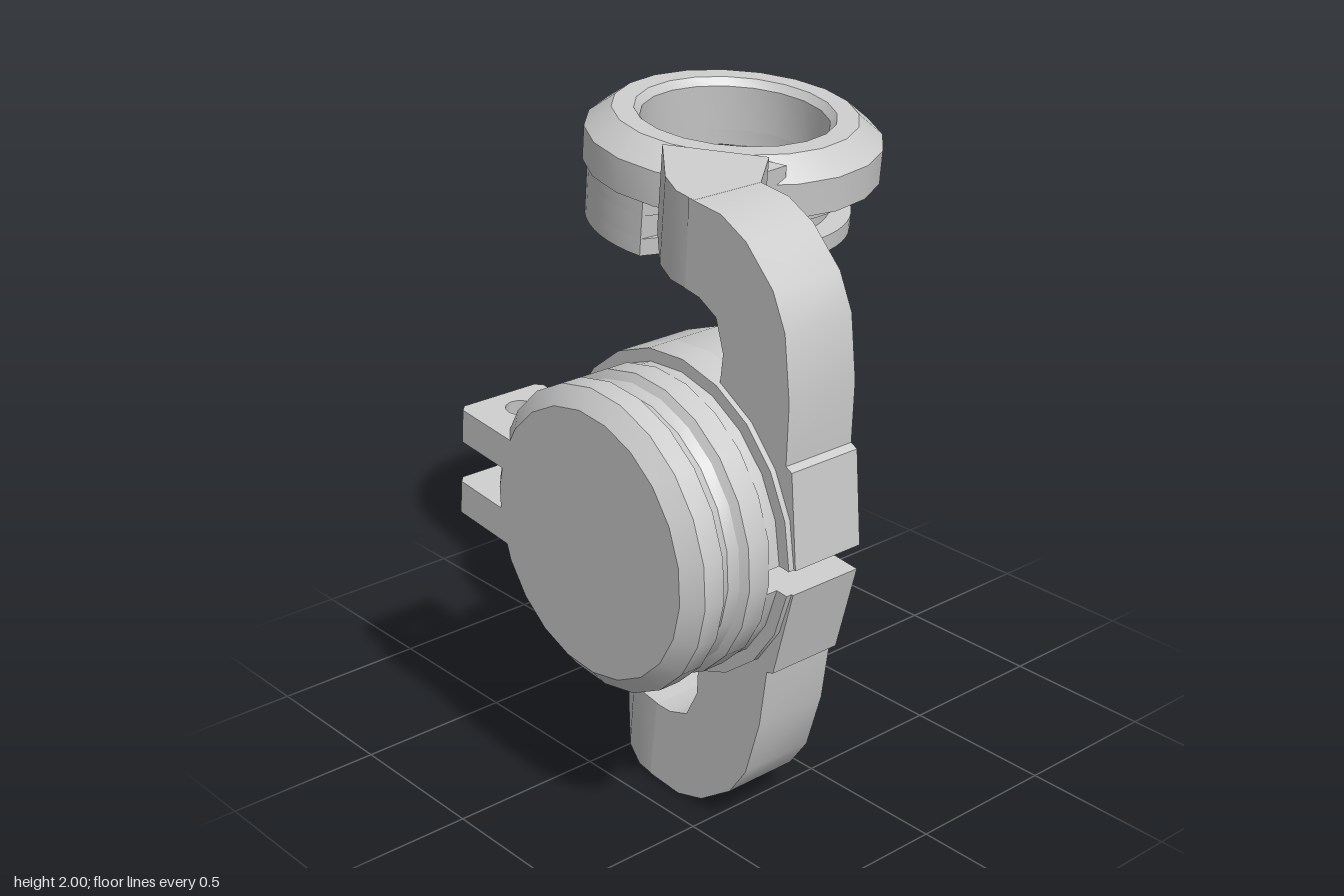
import * as THREE from 'three';
import { toCreasedNormals } from 'three/addons/utils/BufferGeometryUtils.js';

const material = new THREE.MeshStandardMaterial({ color: 0xcccccc });

function part(name, geometry) {
  const mesh = new THREE.Mesh(toCreasedNormals(geometry, 0.5), material);
  mesh.name = name;
  return mesh;
}

function circleHole(x, y, r, n = 20) {
  const pts = [];
  for (let i = 0; i < n; i++) {
    const a = (i / n) * Math.PI * 2;
    pts.push(new THREE.Vector2(x + r * Math.cos(a), y + r * Math.sin(a)));
  }
  return new THREE.Path(pts);
}

// Extrude an outline of [z, y] points along x
function alongX(points, x0, x1) {
  const shape = new THREE.Shape(points.map(([z, y]) => new THREE.Vector2(-z, y)));
  return new THREE.ExtrudeGeometry(shape, { depth: x1 - x0, bevelEnabled: false })
    .rotateY(Math.PI / 2).translate(x0, 0, 0);
}

// Extrude an outline of [x, z] points along y, with an optional round hole [x, z, r]
function alongY(points, y0, y1, hole) {
  const shape = new THREE.Shape(points.map(([x, z]) => new THREE.Vector2(x, -z)));
  if (hole) shape.holes.push(circleHole(hole[0], -hole[1], hole[2]));
  return new THREE.ExtrudeGeometry(shape, { depth: y1 - y0, bevelEnabled: false })
    .rotateX(-Math.PI / 2).translate(0, y0, 0);
}

function lathe(points, segments) {
  return new THREE.LatheGeometry(points.map(([r, y]) => new THREE.Vector2(r, y)), segments);
}

// Half annulus above the clamp slot
function halfRing(inner, outer, gap) {
  const pts = [], n = 10;
  for (const [r, dir] of [[outer, 1], [inner, -1]]) {
    const a0 = Math.asin(gap / r);
    for (let i = 0; i <= n; i++) {
      const t = dir > 0 ? i / n : 1 - i / n;
      const a = a0 + (Math.PI - 2 * a0) * t;
      pts.push([r * Math.cos(a), r * Math.sin(a)]);
    }
  }
  return pts;
}

// Cup layer outline: full at the sides, set back in front, cut straight behind
function cupOutline(front, chord, grooveBack) {
  const pts = [], n = 60;
  for (let i = 0; i < n; i++) {
    const a = (i / n) * Math.PI * 2, s = Math.sin(a), c = Math.cos(a);
    let r = 0.457;
    if (r * c > 0.1) r = front;
    if (c < 0) r = Math.min(r, chord / -c);
    if (grooveBack && c < 0 && Math.abs(r * s) < 0.29) r = Math.min(r, grooveBack);
    pts.push([r * s, r * c]);
  }
  return pts;
}

// Cup with a stepped bore and a band groove; y = 0 is its inner face
function makeCup() {
  const cup = new THREE.Group();
  cup.add(part('cupFlange', alongY(cupOutline(0.39, 0.31), 0, 0.055, [0, 0, 0.2])));
  cup.add(part('cupGroove', alongY(cupOutline(0.32, 0.31, 0.27), 0.055, 0.13, [0, 0, 0.2])));
  cup.add(part('cupShoulder', alongY(cupOutline(0.39, 0.38), 0.13, 0.182, [0, 0, 0.3])));
  cup.add(part('cupRim', lathe([
    [0.3, 0.18], [0.472, 0.18], [0.472, 0.29], [0.39, 0.355],
    [0.32, 0.355], [0.3, 0.33], [0.3, 0.18],
  ], 20)));
  return cup;
}

// Half of the split socket: conical bore in front of a thick floor
function makeHalfSocket() {
  const half = new THREE.Group();
  const x0 = -0.33, x1 = -0.158;
  const wall = alongX(halfRing(0.32, 0.5, 0.04), x0, x1);
  const p = wall.attributes.position;
  for (let i = 0; i < p.count; i++) {
    const y = p.getY(i), z = p.getZ(i);
    if (p.getX(i) > x1 - 0.01 && Math.hypot(y, z) < 0.4) {
      p.setZ(i, z * 1.22);
      if (y > 0.05) p.setY(i, y * 1.22);
    }
  }
  wall.computeVertexNormals();
  half.add(part('socketWall', wall));
  half.add(part('socketFloor', alongX(halfRing(0.195, 0.5, 0.04), -0.43, x0)));
  half.add(part('socketBase', alongX(halfRing(0.195, 0.46, 0.04), -0.47, -0.43)));
  return half;
}

// Curved arm rising from the socket, as [z, y]
const armProfile = [
  [0.505, 0.04], [0.455, 0.33], [0.43, 0.34], [0.42, 0.53], [0.38, 0.725],
  [0.32, 0.83], [0.2, 0.93], [0.095, 0.972], [-0.04, 0.975],
  [-0.03, 0.705], [0.03, 0.7], [0.105, 0.667], [0.145, 0.57], [0.14, 0.44],
  [0.33, 0.27], [0.41, 0.04],
];

// Neck turning diagonally towards the cup, as [x, z]
const neckOutline = [
  [-0.41, -0.02], [-0.405, -0.1], [-0.36, -0.2], [-0.2, -0.4],
  [0, -0.155], [-0.157, -0.02],
];
const linkOutline = [[-0.18, -0.385], [-0.02, -0.18], [0.11, -0.19], [0.01, -0.42]];

// Clamp ear with a bolt hole, as [x, z]
const earOutline = [
  [-0.755, -0.36], [-0.755, -0.6], [-0.735, -0.62], [-0.47, -0.62],
  [-0.45, -0.6], [-0.45, -0.36],
];

export function createModel() {
  const model = new THREE.Group();
  const body = new THREE.Group();
  body.name = 'bracket';
  body.position.set(0, 0.97, 0.33);
  body.rotation.x = 0.1;
  model.add(body);

  // Round back housing with an outer groove
  body.add(part('hubHousing', lathe([
    [0, -0.755], [0.41, -0.755], [0.465, -0.71], [0.465, -0.64], [0.44, -0.625],
    [0.425, -0.59], [0.44, -0.56], [0.465, -0.545], [0.465, -0.47], [0, -0.47],
  ], 22).rotateZ(-Math.PI / 2)));

  for (const side of [1, -1]) {
    const word = side > 0 ? 'upper' : 'lower';

    const socket = makeHalfSocket();
    socket.name = word + 'SocketHalf';
    if (side < 0) socket.rotation.x = Math.PI;
    body.add(socket);

    const arm = part(word + 'Arm', alongX(armProfile, -0.127, 0.127));
    arm.position.x = -0.284;
    if (side < 0) arm.rotation.z = Math.PI;
    body.add(arm);

    const span = (a, b) => (side > 0 ? [a, b] : [-b, -a]);
    body.add(part(word + 'Neck', alongY(neckOutline, ...span(0.705, 0.975))));
    body.add(part(word + 'NeckLink', alongY(linkOutline, ...span(0.755, 0.915))));
    body.add(part(word + 'ClampEar', alongY(earOutline, ...span(0.068, 0.175), [-0.6, -0.515, 0.048])));

    const cup = makeCup();
    cup.name = word + 'Cup';
    cup.position.set(0.28, side * 0.572, -0.605);
    if (side < 0) cup.rotation.z = Math.PI;
    body.add(cup);
  }
  return model;
}
